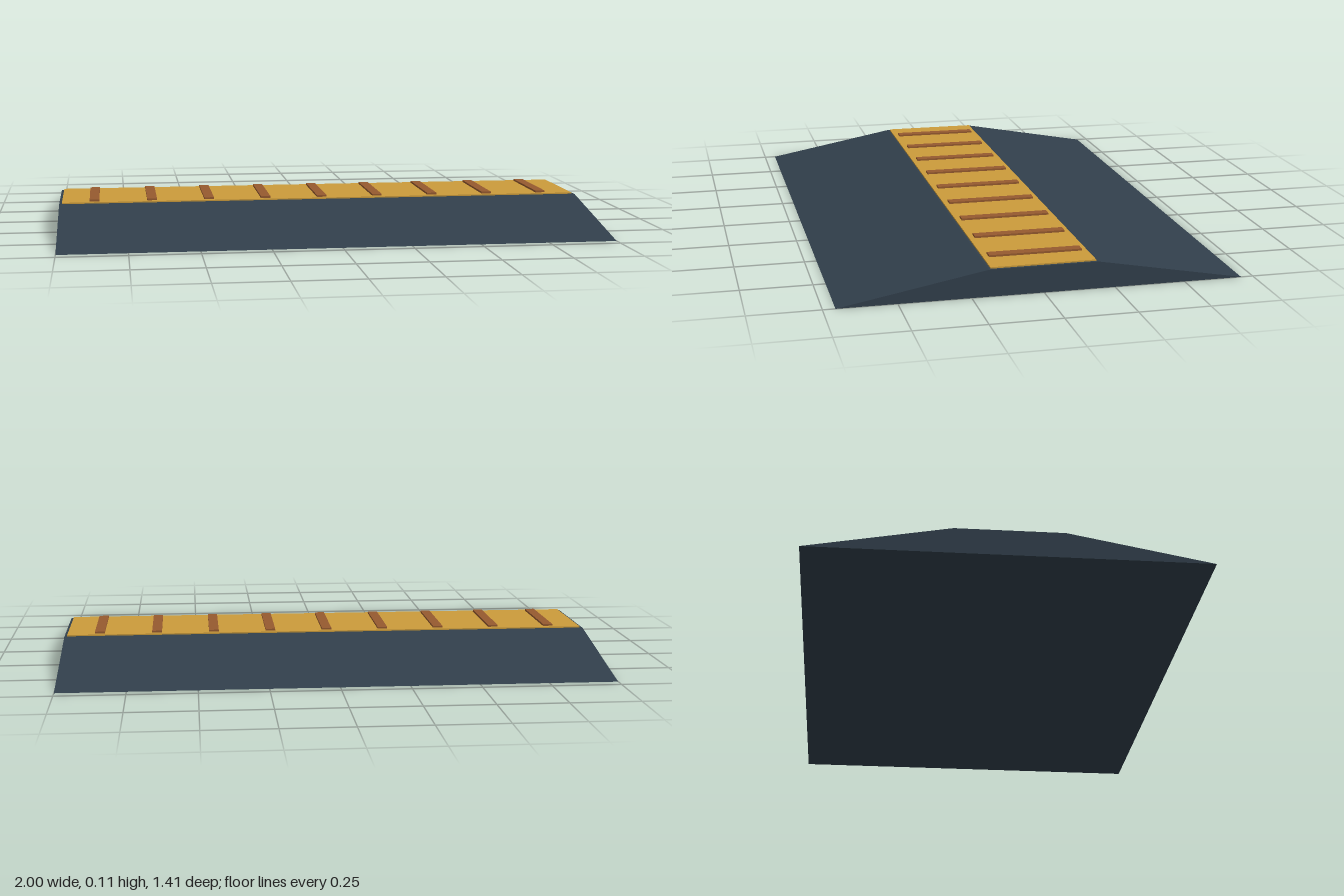
import * as THREE from 'three';

export function createModel() {
  const group = new THREE.Group();
  const material = (name, color) => {
    const m = new THREE.MeshStandardMaterial({ color });
    m.name = name;
    return m;
  };
  const slate = material('slate', 0x313f4b);
  const gold = material('gold', 0xcb9b3b);
  const brown = material('brown', 0x965a2f);

  const add = (name, geometry, mat, x = 0, y = 0) => {
    const mesh = new THREE.Mesh(geometry, mat);
    mesh.name = name;
    mesh.position.set(x, y, 0);
    group.add(mesh);
  };

  // Ramp body: trapezoid section run along x
  const section = new THREE.Shape([
    new THREE.Vector2(-0.707, 0),
    new THREE.Vector2(0.707, 0),
    new THREE.Vector2(0.192, 0.095),
    new THREE.Vector2(-0.192, 0.095),
  ]);
  const body = new THREE.ExtrudeGeometry(section, { depth: 2, bevelEnabled: false });
  body.translate(0, 0, -1).rotateY(Math.PI / 2);
  add('rampBody', body, slate);

  // Flat walkway on the crest
  add('crestPlate', new THREE.BoxGeometry(1.98, 0.008, 0.368), gold, 0, 0.096);

  // Raised cross bars
  for (let i = -4; i <= 4; i++) {
    add('crossBar', new THREE.BoxGeometry(0.037, 0.01, 0.328), brown, i * 0.217, 0.102);
  }
  return group;
}
